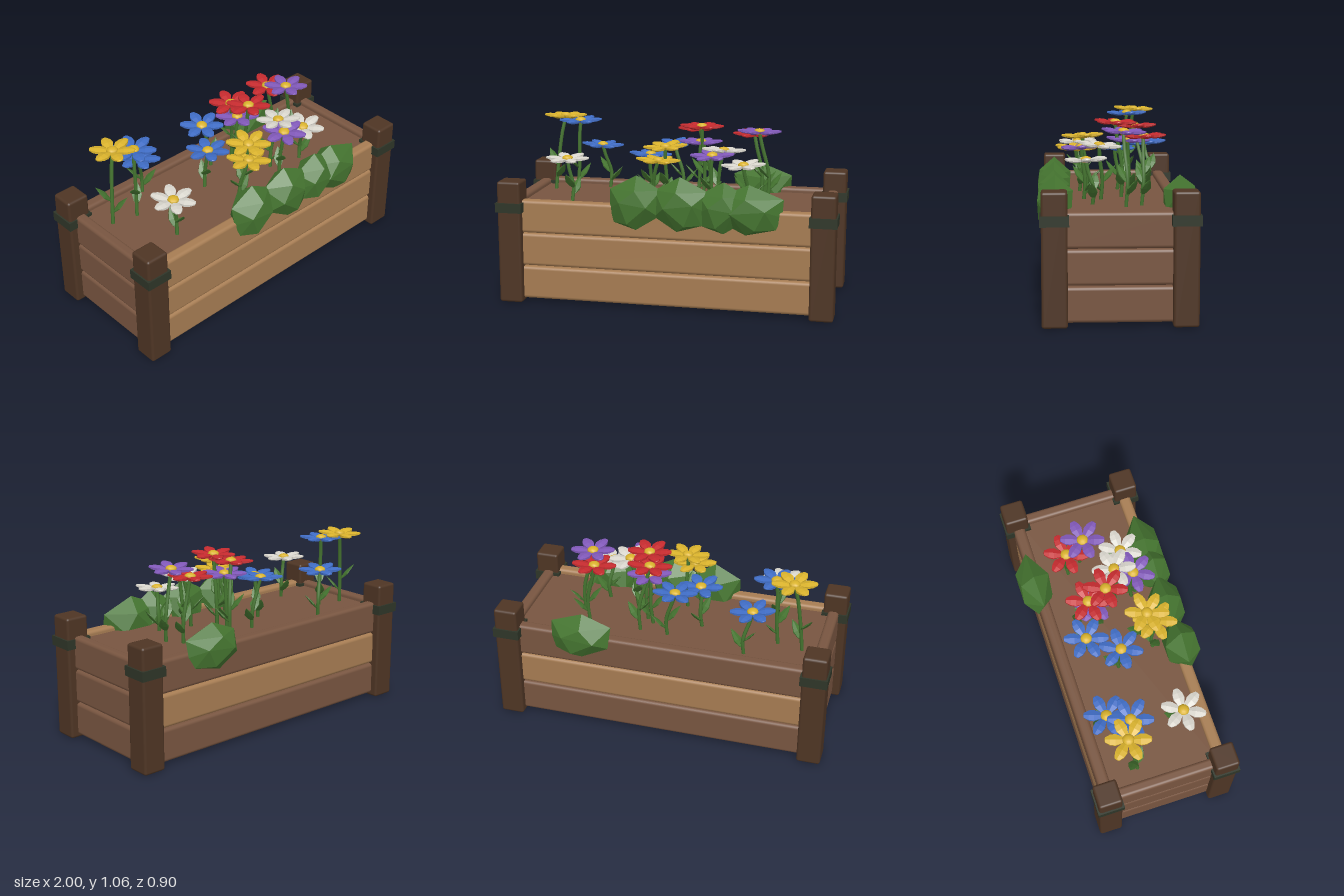
import * as THREE from 'three';
import { RoundedBoxGeometry } from 'three/addons/geometries/RoundedBoxGeometry.js';
import { ConvexGeometry } from 'three/addons/geometries/ConvexGeometry.js';

const mat = (name, color) => {
  const m = new THREE.MeshStandardMaterial({ color });
  m.name = name;
  return m;
};

// Facet a geometry
const flat = (g) => {
  const f = g.index ? g.toNonIndexed() : g;
  f.computeVertexNormals();
  return f;
};

// Closed low-poly blade along +z, built from [half width, distance] pairs
function blade(profile, sides, thickness) {
  const g = new THREE.LatheGeometry(profile.map(([r, d]) => new THREE.Vector2(r, d)), sides);
  g.rotateX(Math.PI / 2);
  g.scale(1, thickness, 1);
  return flat(g);
}

export function createModel() {
  const M = {
    light: mat('light wood', 0xa67c52),
    dark: mat('dark wood and soil', 0x785540),
    post: mat('post wood', 0x4e3524),
    band: mat('dark metal', 0x2e3528),
    green: mat('foliage', 0x457530),
    yellow: mat('yellow petal', 0xd9b22c),
    red: mat('red petal', 0xc42a2e),
    blue: mat('blue petal', 0x3f6cc4),
    purple: mat('purple petal', 0x8058b8),
    white: mat('white petal', 0xd8d5cc),
  };
  const model = new THREE.Group();
  model.name = 'flowerPlanter';
  const add = (parent, name, geo, material, x = 0, y = 0, z = 0) => {
    const mesh = new THREE.Mesh(geo, material);
    mesh.name = name;
    mesh.position.set(x, y, z);
    parent.add(mesh);
    return mesh;
  };
  let seed = 7;
  const rand = () => (seed = (seed * 16807) % 2147483647) / 2147483647;

  // Corner posts with metal bands
  const postGeo = new RoundedBoxGeometry(0.14, 0.73, 0.14, 2, 0.015);
  const bandGeo = new THREE.BoxGeometry(0.158, 0.057, 0.158);
  for (const sx of [-1, 1]) for (const sz of [-1, 1]) {
    add(model, 'post', postGeo, M.post, sx * 0.92, 0.365, sz * 0.35);
    add(model, 'postBand', bandGeo, M.band, sx * 0.92, 0.575, sz * 0.35);
  }

  // Three rows of planks on every side
  const longGeo = new RoundedBoxGeometry(1.74, 0.196, 0.07, 3, 0.02);
  const endGeo = new RoundedBoxGeometry(0.065, 0.196, 0.6, 3, 0.02);
  [0.117, 0.319, 0.518].forEach((y, i) => {
    add(model, 'frontPlank', longGeo, M.light, 0, y, 0.343);
    add(model, 'backPlank', longGeo, i === 1 ? M.light : M.dark, 0, y, -0.343);
    for (const s of [-1, 1]) add(model, 'endPlank', endGeo, M.dark, s * 0.912, y, 0);
  });

  // Soil bed
  add(model, 'soil', new THREE.BoxGeometry(1.78, 0.1, 0.64), M.dark, 0, 0.535, 0);

  // Faceted bushes hanging over the rim
  const hull = [
    [0.05, 1, 0], [-1, 0.45, 0], [1, 0.45, -0.1], [-0.97, -0.25, 0.2], [0.95, -0.5, 0.3],
    [-0.8, -0.75, 0.4], [0.1, -1, 0.55], [0.1, 0.5, 0.9], [-0.5, 0.05, 1], [0.55, -0.1, 1],
    [-0.2, -0.75, 0.95], [-0.1, 0.4, -1], [0.5, -0.4, -0.9], [-0.5, -0.4, -0.9],
  ];
  const bushes = [
    [-0.17, 0.635, 0.35, 0.15, 0.155, 0.1], [0.1, 0.635, 0.35, -0.16, 0.155, 0.095],
    [0.34, 0.625, 0.35, 0.14, 0.145, 0.09], [0.5, 0.62, 0.345, -0.19, 0.14, 0.1],
    [0.47, 0.625, -0.36, -0.18, 0.13, -0.095],
  ];
  for (const [x, y, z, w, h, d] of bushes) {
    const pts = hull.map((p) => new THREE.Vector3(p[0] * w, p[1] * h, p[2] * d));
    add(model, 'bush', new ConvexGeometry(pts), M.green, x, y, z);
  }

  // Flower parts
  const petalGeo = blade([[0, 0.01], [0.018, 0.025], [0.037, 0.07], [0.033, 0.1], [0.016, 0.128], [0, 0.131]], 6, 0.38);
  const leafGeo = blade([[0, 0], [0.02, 0.025], [0.033, 0.06], [0.02, 0.1], [0, 0.135]], 6, 0.25);
  const heartGeo = new THREE.SphereGeometry(0.034, 10, 6);
  heartGeo.scale(1, 0.6, 1);

  // Colour, x, height, z
  const flowers = [
    ['yellow', -0.74, 1.035, -0.17], ['blue', -0.63, 1.015, -0.12], ['blue', -0.52, 0.85, -0.225],
    ['white', -0.62, 0.835, 0.2], ['blue', -0.055, 0.88, -0.195], ['blue', -0.165, 0.84, -0.02],
    ['yellow', -0.03, 0.925, 0.18], ['yellow', -0.065, 0.85, 0.22], ['red', 0.115, 0.995, -0.125],
    ['red', 0.15, 1.02, -0.01], ['purple', 0.13, 0.915, -0.085], ['red', 0.445, 0.965, -0.155],
    ['purple', 0.49, 0.995, -0.04], ['purple', 0.25, 0.885, 0.19], ['white', 0.3, 0.9, 0.09],
    ['white', 0.43, 0.83, 0.17],
  ];
  for (const [color, x, y, z] of flowers) {
    const flower = new THREE.Group();
    flower.name = color + 'Flower';
    flower.position.set(x, 0, z);
    model.add(flower);

    // Curved stem from the soil to the bloom
    const bx = (rand() - 0.5) * 0.12, bz = (rand() - 0.5) * 0.1;
    const stem = new THREE.CatmullRomCurve3([
      new THREE.Vector3(bx, 0.57, bz),
      new THREE.Vector3(bx * 0.9 + 0.01, 0.57 + (y - 0.57) * 0.4, bz * 0.9 - 0.01),
      new THREE.Vector3(bx * 0.35, 0.57 + (y - 0.57) * 0.8, bz * 0.3),
      new THREE.Vector3(0, y, 0),
    ]);
    add(flower, 'stem', new THREE.TubeGeometry(stem, 10, 0.011, 6), M.green);

    // Two upright leaves on opposite sides of the stem
    const turn = rand() * Math.PI;
    for (const k of [0, 1]) {
      const p = stem.getPointAt(0.18 + k * 0.16);
      const leaf = add(flower, 'leaf', leafGeo, M.green, p.x, p.y, p.z);
      leaf.rotation.set(-0.85, turn + k * Math.PI, 0, 'YXZ');
    }

    // Bloom with six petals round a domed heart
    const bloom = new THREE.Group();
    bloom.name = 'bloom';
    bloom.position.y = y;
    bloom.rotation.set((rand() - 0.5) * 0.16, rand() * 0.3 + Math.PI / 6, (rand() - 0.5) * 0.16);
    flower.add(bloom);
    for (let i = 0; i < 6; i++) {
      const petal = add(bloom, 'petal', petalGeo, M[color]);
      petal.rotation.set(-0.1, (i * Math.PI) / 3, 0, 'YXZ');
    }
    add(bloom, 'heart', heartGeo, M.yellow, 0, 0.008, 0);
  }
  return model;
}
